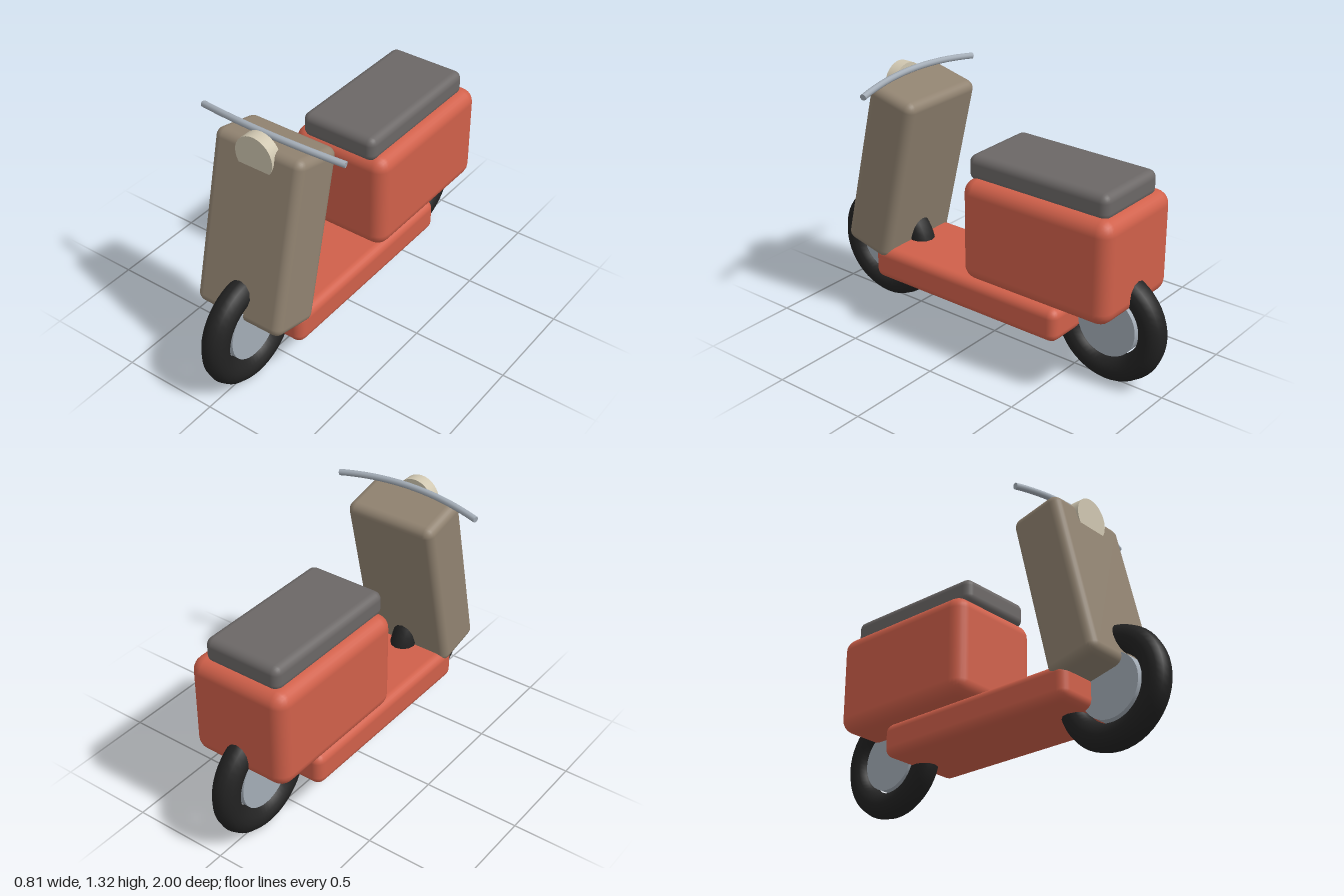
import * as THREE from 'three';
import { RoundedBoxGeometry } from 'three/addons/geometries/RoundedBoxGeometry.js';

function material(name, color) {
  const m = new THREE.MeshStandardMaterial({ color });
  m.name = name;
  return m;
}

export function createModel() {
  const red = material('coral red', 0xd0604a);
  const tan = material('warm taupe', 0x908270);
  const grey = material('seat grey', 0x6b6766);
  const black = material('tyre black', 0x222222);
  const silver = material('silver', 0xa3acb6);
  const cream = material('lamp cream', 0xcfc6b0);

  const scooter = new THREE.Group();
  scooter.name = 'scooter';

  function add(name, geometry, mat, x, y, z, parent = scooter) {
    const mesh = new THREE.Mesh(geometry, mat);
    mesh.name = name;
    mesh.position.set(x, y, z);
    parent.add(mesh);
    return mesh;
  }
  const softBox = (w, h, d, r) => new RoundedBoxGeometry(w, h, d, 3, r);

  // Wheels: a tyre around a plain disc, with a hairline gap between them
  for (const [name, z] of [['frontWheel', 0.7], ['rearWheel', -0.7]]) {
    const wheel = new THREE.Group();
    wheel.name = name;
    wheel.position.set(0, 0.302, z);
    wheel.rotation.y = Math.PI / 2;
    scooter.add(wheel);
    add('tyre', new THREE.TorusGeometry(0.233, 0.067, 12, 48), black, 0, 0, 0, wheel);
    const disc = add('wheelDisc', new THREE.CylinderGeometry(0.16, 0.16, 0.08, 40), silver, 0, 0, 0, wheel);
    disc.rotation.x = Math.PI / 2;
  }

  // Body: footboard, rear housing and seat
  add('footboard', softBox(0.472, 0.173, 1.14, 0.045), red, 0, 0.304, 0.03);
  add('rearHousing', softBox(0.542, 0.52, 0.842, 0.07), red, 0, 0.675, -0.421);
  add('seat', softBox(0.42, 0.13, 0.79, 0.04), grey, 0, 0.976, -0.396);

  // Leg shield, leaning back
  const shield = add('legShield', softBox(0.495, 0.9, 0.28, 0.045), tan, 0, 0.8, 0.546);
  shield.rotation.x = -0.23;

  // Headlamp, partly sunk into the shield
  const lamp = add('headlamp', new THREE.CylinderGeometry(0.104, 0.104, 0.06, 32), cream, 0, 1.215, 0.576);
  lamp.rotation.x = Math.PI / 2;

  // Handlebar, swept back and down at both ends
  const bar = new THREE.QuadraticBezierCurve3(
    new THREE.Vector3(-0.4, 1.268, 0.47),
    new THREE.Vector3(0, 1.32, 0.562),
    new THREE.Vector3(0.4, 1.268, 0.47),
  );
  add('handlebar', new THREE.TubeGeometry(bar, 24, 0.016, 10), silver, 0, 0, 0);
  for (const side of [-1, 1]) {
    const end = bar.getPoint(side < 0 ? 0 : 1);
    const cap = add('handlebarEnd', new THREE.CircleGeometry(0.016, 10), silver, end.x, end.y, end.z);
    const outward = bar.getTangent(side < 0 ? 0 : 1).multiplyScalar(side);
    cap.quaternion.setFromUnitVectors(new THREE.Vector3(0, 0, 1), outward);
  }

  return scooter;
}
